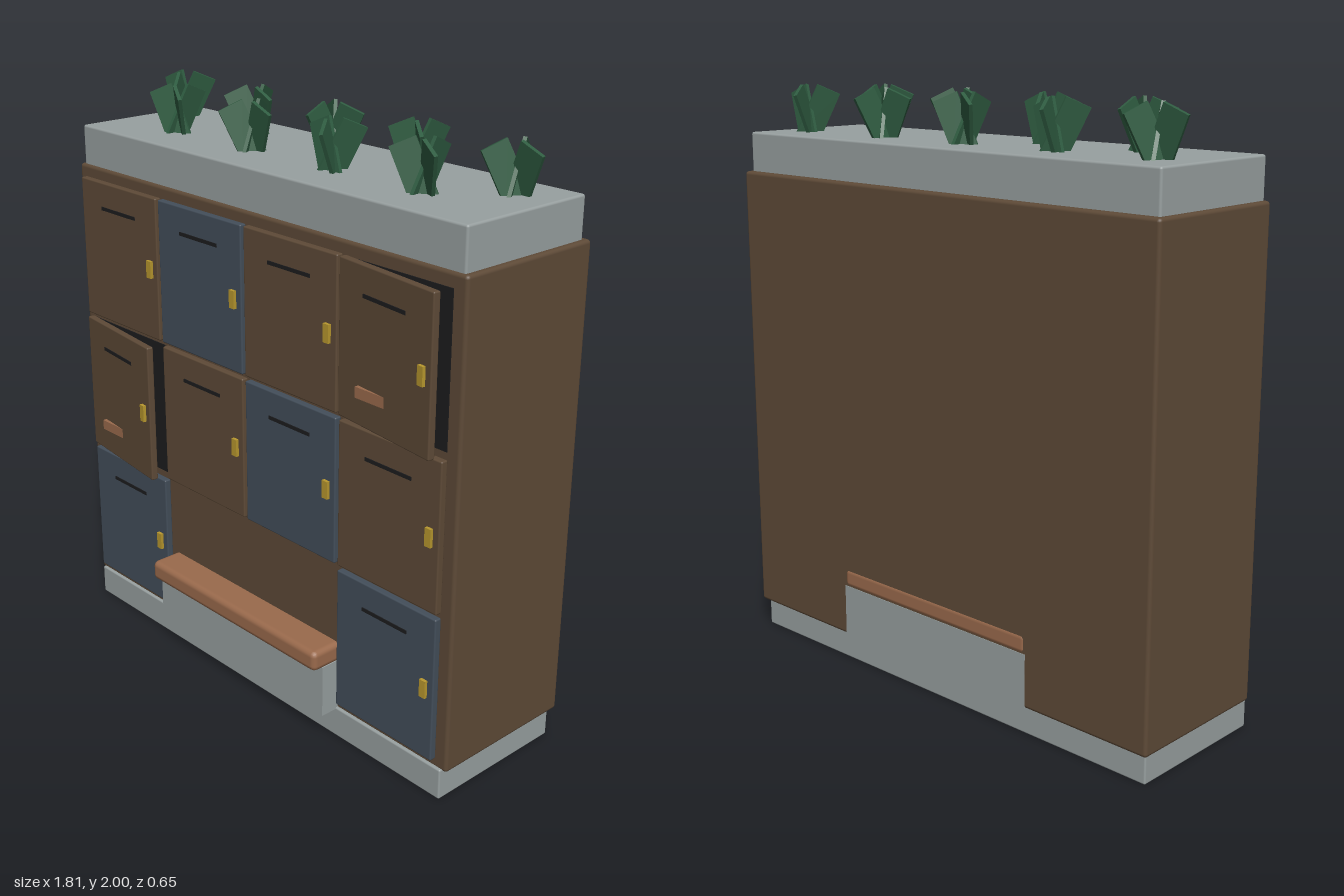
import * as THREE from 'three';
import { RoundedBoxGeometry } from 'three/addons/geometries/RoundedBoxGeometry.js';

const mat = (color) => new THREE.MeshStandardMaterial({ color });
const MATS = {
  brown: mat(0x5e4a37), blue: mat(0x434e5a), stone: mat(0x98a0a0), wood: mat(0x9a6a4c),
  dark: mat(0x1c1c1e), gold: mat(0xb8982e), leaf: mat(0x2f5c41),
};

// Box given by its min/max extents, with slightly rounded edges when r > 0
function box(parent, name, material, [x0, x1], [y0, y1], [z0, z1], r = 0) {
  const size = [x1 - x0, y1 - y0, z1 - z0];
  const geo = r ? new RoundedBoxGeometry(...size, 2, r) : new THREE.BoxGeometry(...size);
  const mesh = new THREE.Mesh(geo, MATS[material]);
  mesh.name = name;
  mesh.position.set((x0 + x1) / 2, (y0 + y1) / 2, (z0 + z1) / 2);
  parent.add(mesh);
  return mesh;
}

const DOOR_W = 0.422, DOOR_H = 0.497, FACE_Z = 0.217;

// Locker door hinged on its -x edge, with a mail slot and a handle
function makeDoor(material, angle) {
  const door = new THREE.Group();
  door.name = 'lockerDoor';
  const h = DOOR_H / 2;
  box(door, 'doorPanel', material, [0, DOOR_W], [-h, h], [0, 0.025], 0.005);
  box(door, 'mailSlot', 'dark', [0.116, 0.306], [0.152, 0.164], [0.02, 0.028]);
  box(door, 'doorHandle', 'gold', [0.374, 0.398], [-0.03, 0.03], [0.02, 0.036]);
  door.rotation.y = -angle;
  return door;
}

// Three crossed leaf blades leaning outward
function makePlant(x, z, yaw) {
  const plant = new THREE.Group();
  plant.name = 'plant';
  for (let i = 0; i < 3; i++) {
    const arm = new THREE.Group();
    arm.name = 'leafArm';
    arm.rotation.y = Math.PI / 2 + (i * Math.PI * 2) / 3;
    const leaf = new THREE.Mesh(new THREE.BoxGeometry(0.085, 0.18, 0.012), MATS.leaf);
    leaf.name = 'leaf';
    leaf.position.x = 0.03;
    leaf.rotation.set(0.15, 0, -0.42);
    arm.add(leaf);
    plant.add(arm);
  }
  plant.position.set(x, 1.898, z);
  plant.rotation.y = yaw;
  return plant;
}

export function createModel() {
  const model = new THREE.Group();
  model.name = 'lockerWall';

  // Plinth, cabinet and planter
  box(model, 'plinth', 'stone', [-0.89, 0.89], [0, 0.108], [-0.3, 0.225], 0.006);
  box(model, 'cabinet', 'brown', [-0.907, 0.907], [0.1, 1.7], [-0.322, 0.215], 0.012);
  box(model, 'planter', 'stone', [-0.89, 0.89], [1.69, 1.835], [-0.3, 0.205], 0.008);

  // Bench running through the cabinet
  box(model, 'benchBase', 'stone', [-0.425, 0.425], [0.102, 0.285], [-0.324, 0.285]);
  box(model, 'benchSeat', 'wood', [-0.427, 0.427], [0.28, 0.352], [-0.325, 0.325], 0.02);

  // Locker doors: b = blue, n = brown, o = brown and ajar, . = none
  ['nbno', 'onbn', 'b..b'].forEach((row, r) => {
    [...row].forEach((kind, c) => {
      if (kind === '.') return;
      const x = -0.653 + c * 0.4355, y = 1.4125 - r * 0.513;
      const ajar = kind === 'o';
      const door = makeDoor(kind === 'b' ? 'blue' : 'brown', ajar ? 0.12 : 0);
      door.position.set(x - DOOR_W / 2, y, ajar ? FACE_Z + 0.002 : FACE_Z);
      model.add(door);
      if (!ajar) return;
      // Dark compartment and a parcel poking out
      const hw = DOOR_W / 2 - 0.006, hh = DOOR_H / 2 - 0.006;
      box(model, 'compartment', 'dark', [x - hw, x + hw], [y - hh, y + hh], [0.2, 0.218]);
      box(model, 'parcel', 'wood', [x - 0.116, x + 0.08], [y - 0.157, y - 0.122], [0.2, 0.27]);
    });
  });

  // Plants in two staggered rows
  const yaws = [-0.4, 0, 0.4, 0.5, Math.PI, -0.5, -0.15, 0.1, 0.5];
  yaws.forEach((yaw, i) => {
    model.add(makePlant(-0.755 + i * 0.189, i % 2 ? 0.035 : -0.145, yaw));
  });
  return model;
}
